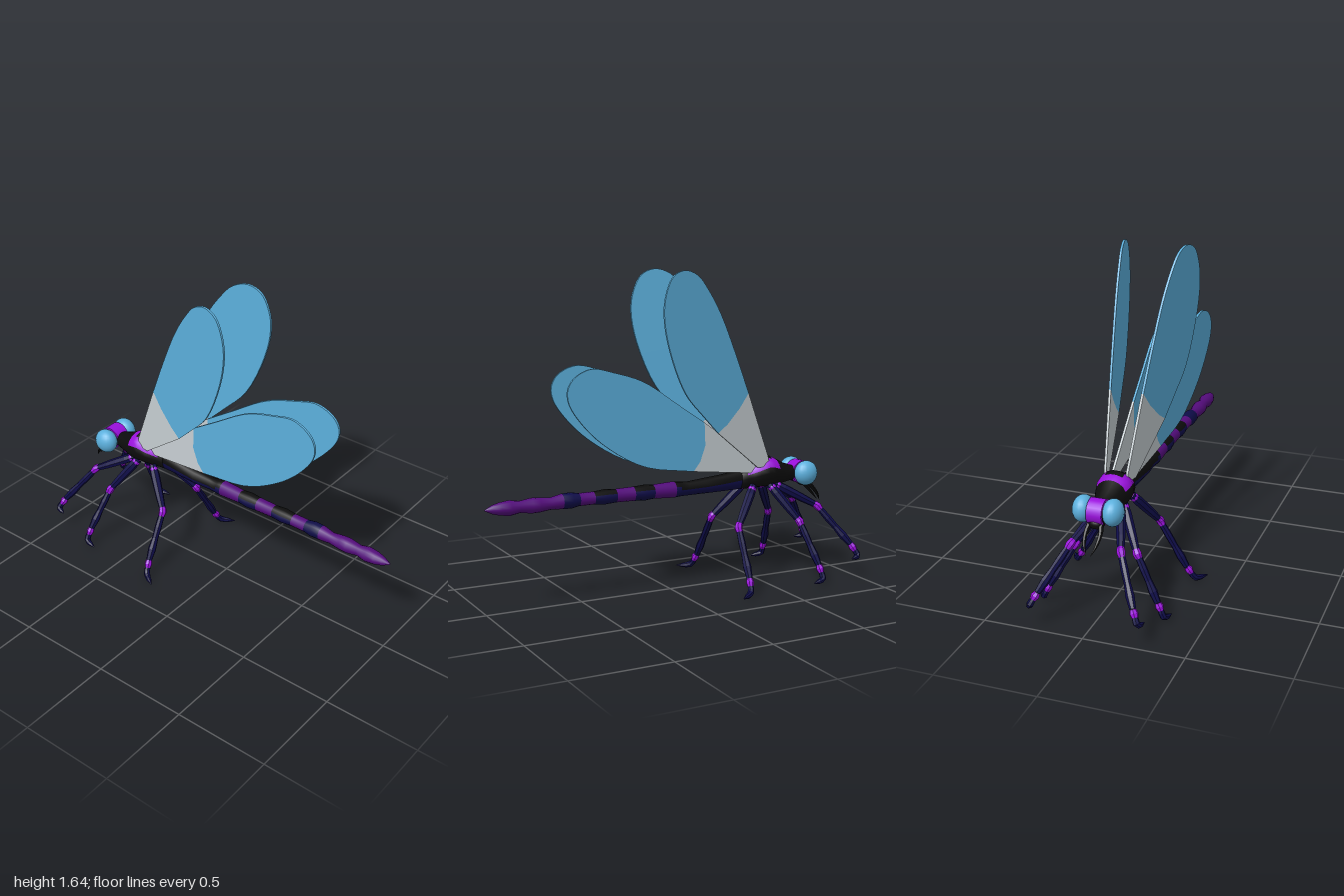
import * as THREE from 'three';

const mat = (name, color) => {
  const m = new THREE.MeshStandardMaterial({ color });
  m.name = name;
  return m;
};

export function createModel() {
  const black = mat('black', 0x0c0c0c);
  const navy = mat('navy', 0x0e0c48);
  const plum = mat('plum', 0x540c7c);
  const violet = mat('violet', 0x9a10dc);
  const blue = mat('wingBlue', 0x5cb0dd);
  const grey = mat('wingGrey', 0xc8d0d4);
  const model = new THREE.Group();
  model.name = 'dragonfly';

  function add(parent, geometry, material, name) {
    const mesh = new THREE.Mesh(geometry, material);
    mesh.name = name;
    parent.add(mesh);
    return mesh;
  }

  // Loft of ellipses along -z: [z, centre y, rx, ry]; pick(z, angle) gives a palette index
  function loft(sections, sides, pick) {
    const pos = [], lists = [];
    for (const [z, y, rx, ry] of sections) {
      for (let j = 0; j < sides; j++) {
        const t = (j / sides) * Math.PI * 2;
        pos.push(rx * Math.cos(t), y + ry * Math.sin(t), z);
      }
    }
    for (let i = 0; i < sections.length - 1; i++) {
      const zm = (sections[i][0] + sections[i + 1][0]) / 2;
      for (let j = 0; j < sides; j++) {
        const k = (j + 1) % sides;
        const a = i * sides + j, b = i * sides + k, c = a + sides, d = b + sides;
        const m = pick(zm, ((j + 0.5) / sides) * 360);
        (lists[m] ??= []).push(a, c, b, b, c, d);
      }
    }
    const g = new THREE.BufferGeometry();
    g.setAttribute('position', new THREE.Float32BufferAttribute(pos, 3));
    g.setIndex(lists.flat());
    let start = 0;
    lists.forEach((list, m) => {
      g.addGroup(start, list.length, m);
      start += list.length;
    });
    g.computeVertexNormals();
    return g;
  }

  // Tube along a curve whose radius follows a list
  function taper(points, radii, steps = 4, sides = 7) {
    const curve = new THREE.CatmullRomCurve3(points.map((p) => new THREE.Vector3(...p)));
    const g = new THREE.TubeGeometry(curve, steps, 1, sides);
    const p = g.attributes.position, v = new THREE.Vector3();
    for (let i = 0; i < p.count; i++) {
      const u = Math.floor(i / (sides + 1)) / steps;
      const f = u * (radii.length - 1), k = Math.min(Math.floor(f), radii.length - 2);
      const r = THREE.MathUtils.lerp(radii[k], radii[k + 1], f - k);
      const c = curve.getPointAt(u);
      v.fromBufferAttribute(p, i).sub(c).multiplyScalar(r).add(c);
      p.setXYZ(i, v.x, v.y, v.z);
    }
    const flat = g.toNonIndexed();
    flat.computeVertexNormals();
    return flat;
  }

  // Abdomen with banded segments
  const palette = [black, navy, plum, violet];
  const abdomen = [
    [1, 0.52, 0.002, 0.002], [0.96, 0.52, 0.022, 0.022], [0.92, 0.52, 0.034, 0.032], [0.87, 0.52, 0.039, 0.038],
    [0.82, 0.52, 0.028, 0.029], [0.76, 0.52, 0.039, 0.038], [0.72, 0.52, 0.037, 0.037], [0.66, 0.52, 0.029, 0.03],
    [0.6, 0.525, 0.038, 0.038], [0.55, 0.525, 0.04, 0.04], [0.51, 0.525, 0.033, 0.032], [0.43, 0.525, 0.033, 0.032],
    [0.37, 0.525, 0.039, 0.038], [0.31, 0.525, 0.033, 0.034], [0.21, 0.525, 0.035, 0.036], [0.15, 0.525, 0.042, 0.04],
    [0.1, 0.525, 0.035, 0.036], [-0.02, 0.525, 0.04, 0.042], [-0.05, 0.524, 0.038, 0.038], [-0.1, 0.523, 0.031, 0.036],
    [-0.2, 0.528, 0.042, 0.04], [-0.3, 0.533, 0.037, 0.044], [-0.44, 0.545, 0.035, 0.054],
  ];
  const darkBands = [[0.51, 0.6], [0.31, 0.43], [0.1, 0.21], [-1, -0.02]];
  add(model, loft(abdomen, 14, (z, a) => {
    const band = darkBands.findIndex(([lo, hi]) => z > lo && z < hi);
    if (band < 0) return 2;
    return band === 0 || (a > 185 && a < 355) || (z > -0.05 && (a < 25 || a > 155)) ? 1 : 0;
  }), palette, 'abdomen');

  // Thorax with a violet collar and rear bar
  const thorax = [
    [-0.4, 0.54, 0.004, 0.004], [-0.41, 0.54, 0.036, 0.05], [-0.44, 0.548, 0.045, 0.058], [-0.47, 0.555, 0.06, 0.065],
    [-0.5, 0.565, 0.078, 0.073], [-0.55, 0.577, 0.09, 0.086], [-0.585, 0.574, 0.09, 0.083],
    [-0.62, 0.566, 0.08, 0.074], [-0.67, 0.557, 0.064, 0.056], [-0.73, 0.552, 0.046, 0.04], [-0.76, 0.552, 0.03, 0.03],
  ];
  add(model, loft(thorax, 18, (z, a) => {
    const side = Math.abs(90 - a);
    if (z < -0.585 && z > -0.62) return side < 70 ? 3 : 0;
    if (z < -0.47 && z > -0.585) return side > 38 && side < 72 ? 3 : 0;
    return z > -0.47 && z < -0.44 && side < 65 ? 3 : 0;
  }), palette, 'thorax');

  // Head, face band, eyes and jaws
  const ball = (parent, material, name, r, at) => {
    const m = add(parent, new THREE.SphereGeometry(1, 20, 14), material, name);
    m.scale.set(...r);
    m.position.set(...at);
    return m;
  };
  ball(model, black, 'head', [0.075, 0.056, 0.062], [0, 0.55, -0.78]);
  const band = add(model, new THREE.CylinderGeometry(0.062, 0.062, 0.076, 20), violet, 'faceBand');
  band.rotation.z = Math.PI / 2;
  band.position.set(0, 0.553, -0.783);
  ball(model, black, 'mouth', [0.042, 0.03, 0.035], [0, 0.505, -0.805]);

  // Wing outlines as [z, y]; each is cut into a grey root and a blue blade
  const wings = {
    foreWing: {
      root: [[-0.41, 1.01], [-0.55, 0.66], [-0.56, 0.61], [-0.48, 0.61], [-0.21, 0.82]],
      seam: [[-0.27, 0.86], [-0.35, 0.935]],
      blade: [[-0.21, 0.82], [-0.12, 0.91], [0, 1.04], [0.1, 1.27], [0.13, 1.43], [0.118, 1.53], [0.075, 1.615],
        [0.005, 1.645], [-0.075, 1.62], [-0.14, 1.55], [-0.225, 1.42], [-0.32, 1.22], [-0.41, 1.01]],
      x: (z) => 0.058 + (z + 0.54) * 0.19,
    },
    hindWing: {
      root: [[-0.165, 0.87], [-0.5, 0.63], [-0.52, 0.6], [-0.45, 0.58], [-0.1, 0.622]],
      seam: [[-0.14, 0.67], [-0.17, 0.75]],
      blade: [[-0.1, 0.622], [0.19, 0.675], [0.41, 0.8], [0.54, 0.925], [0.6, 1.02], [0.605, 1.085], [0.57, 1.14],
        [0.477, 1.18], [0.355, 1.155], [0.19, 1.1], [-0.02, 0.965], [-0.165, 0.87]],
      x: (z) => 0.038 + (z + 0.5) * 0.058,
    },
  };
  function plate(points, bend) {
    const shape = new THREE.Shape(points.map(([z, y]) => new THREE.Vector2(-z, y)));
    const g = new THREE.ExtrudeGeometry(shape, { depth: 0.012, bevelEnabled: false });
    g.rotateY(Math.PI / 2);
    const p = g.attributes.position;
    for (let i = 0; i < p.count; i++) p.setX(i, p.getX(i) - 0.006 + bend(p.getZ(i)));
    g.computeVertexNormals();
    return g;
  }
  const smooth = (pts) => new THREE.CatmullRomCurve3(pts.map(([z, y]) => new THREE.Vector3(z, y, 0)))
    .getPoints(48).map((v) => [v.x, v.y]);

  // Legs: hip, knee, ankle, heel and claw tip
  const legs = {
    frontLeg: [[0.04, 0.51, -0.6], [0.125, 0.385, -0.82], [0.245, 0.165, -0.975], [0.268, 0.12, -0.99], [0.285, 0.11, -0.94]],
    middleLeg: [[0.045, 0.51, -0.57], [0.155, 0.32, -0.69], [0.285, 0.085, -0.74], [0.308, 0.035, -0.742], [0.325, 0.02, -0.675]],
    hindLeg: [[0.045, 0.51, -0.47], [0.14, 0.325, -0.325], [0.29, 0.065, -0.31], [0.318, 0.022, -0.295], [0.365, 0.01, -0.225]],
  };
  const mix = (a, b, t) => a.map((v, i) => v + (b[i] - v) * t);

  for (const side of [1, -1]) {
    const half = new THREE.Group();
    half.name = side > 0 ? 'leftSide' : 'rightSide';
    half.scale.x = side;
    model.add(half);

    ball(half, blue, 'eye', [0.052, 0.066, 0.066], [0.074, 0.556, -0.78]);
    add(half, taper([[0.026, 0.51, -0.81], [0.036, 0.47, -0.845], [0.03, 0.425, -0.885], [0.012, 0.385, -0.912]],
      [0.014, 0.011, 0.008, 0.001], 8, 6), black, 'jaw');

    for (const [name, w] of Object.entries(wings)) {
      const wing = new THREE.Group();
      wing.name = name;
      half.add(wing);
      add(wing, plate([...w.root, ...w.seam], w.x), grey, 'wingRoot');
      add(wing, plate([...smooth(w.blade), ...[...w.seam].reverse()], w.x), blue, 'wingBlade');
    }

    for (const [name, [hip, knee, ankle, heel, tip]] of Object.entries(legs)) {
      const leg = new THREE.Group();
      leg.name = name;
      half.add(leg);
      const kneeA = mix(hip, knee, 0.93), kneeB = mix(knee, ankle, 0.1);
      const ankleA = mix(knee, ankle, 0.93);
      ball(leg, violet, 'hipJoint', [0.022, 0.022, 0.022], mix(hip, knee, 0.1));
      add(leg, taper([hip, kneeA], [0.02, 0.025, 0.024, 0.022, 0.018]), navy, 'thigh');
      add(leg, taper([kneeA, knee, kneeB], [0.018, 0.022, 0.017]), violet, 'knee');
      add(leg, taper([kneeB, ankleA], [0.017, 0.019, 0.017, 0.022, 0.016]), navy, 'shin');
      add(leg, taper([ankleA, mix(ankle, heel, 0.4)], [0.016, 0.021, 0.015]), violet, 'ankle');
      add(leg, taper([mix(ankle, heel, 0.3), heel, tip], [0.015, 0.017, 0.013, 0.001], 6), navy, 'foot');
    }
  }
  return model;
}
